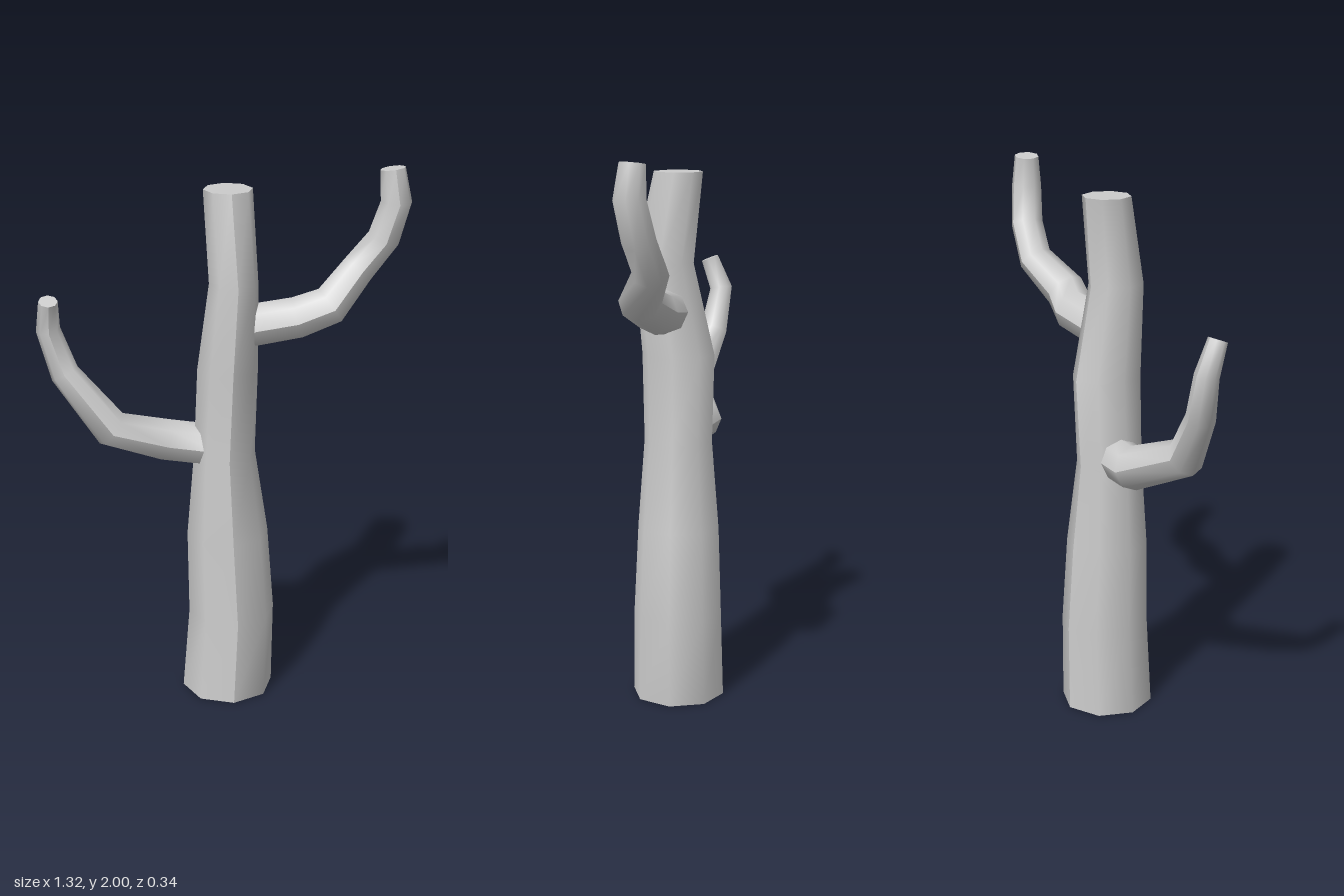
import * as THREE from 'three';

const SIDES = 8;

// Closed tube through rings [x, y, z, radius, radiusZ]; two half shells keep a crease at front and back.
function limb(name, rings, material, level = false) {
  const pts = rings.map(([x, y, z]) => new THREE.Vector3(x, y, z));
  const last = pts.length - 1;
  const loops = pts.map((p, i) => {
    const t = new THREE.Vector3(0, 1, 0);
    if (!level) {
      const before = pts[i].clone().sub(pts[Math.max(i - 1, 0)]).normalize();
      const after = pts[Math.min(i + 1, last)].clone().sub(pts[i]).normalize();
      t.copy(before.add(after)).normalize();
    }
    const u = new THREE.Vector3(0, 0, 1).addScaledVector(t, -t.z).normalize();
    const v = t.clone().cross(u);
    const r = rings[i][3], rz = rings[i][4] ?? r;
    return Array.from({ length: SIDES + 1 }, (_, j) => {
      const a = (j / SIDES) * Math.PI * 2;
      return p.clone().addScaledVector(u, Math.cos(a) * rz).addScaledVector(v, Math.sin(a) * r);
    });
  });

  const pos = [], index = [];
  const push = (p) => pos.push(p.x, p.y, p.z) / 3 - 1;

  // Bark, one half at a time
  const half = SIDES / 2;
  for (const start of [0, half]) {
    const ids = loops.map((loop) => loop.slice(start, start + half + 1).map(push));
    for (let i = 0; i < last; i++) {
      for (let j = 0; j < half; j++) {
        const a = ids[i][j], b = ids[i][j + 1], c = ids[i + 1][j], d = ids[i + 1][j + 1];
        index.push(a, b, d, a, d, c);
      }
    }
  }

  // Flat cut ends
  for (const end of [0, last]) {
    const centre = push(pts[end]);
    const ids = loops[end].map(push);
    for (let j = 0; j < SIDES; j++) {
      if (end) index.push(centre, ids[j], ids[j + 1]);
      else index.push(centre, ids[j + 1], ids[j]);
    }
  }

  const geometry = new THREE.BufferGeometry();
  geometry.setAttribute('position', new THREE.Float32BufferAttribute(pos, 3));
  geometry.setIndex(index);
  geometry.computeVertexNormals();
  const mesh = new THREE.Mesh(geometry, material);
  mesh.name = name;
  return mesh;
}

export function createModel() {
  const group = new THREE.Group();
  group.name = 'bareTree';
  const bark = new THREE.MeshStandardMaterial({ color: 0xcccccc });

  // Slightly wavy tapering trunk
  group.add(limb('trunk', [
    [0.015, 0, 0, 0.17, 0.17],
    [0.03, 0.32, 0, 0.16, 0.163],
    [0.015, 0.64, 0, 0.15, 0.15],
    [0.003, 0.96, 0.003, 0.112, 0.125],
    [0.015, 1.28, 0, 0.11, 0.132],
    [0.028, 1.61, 0.05, 0.087, 0.108],
    [0.015, 1.93, 0, 0.087, 0.088],
  ], bark, true));

  // Upper branch on the +x side
  group.add(limb('leftBranch', [
    [0.03, 1.435, 0.028, 0.08],
    [0.26, 1.465, 0.028, 0.078],
    [0.37, 1.515, 0.06, 0.075],
    [0.48, 1.625, 0, 0.063],
    [0.565, 1.74, 0.02, 0.06],
    [0.6, 1.875, 0.042, 0.056],
    [0.585, 1.99, 0.035, 0.045],
  ], bark));

  // Lower branch on the -x side
  group.add(limb('rightBranch', [
    [-0.01, 0.985, 0.01, 0.08],
    [-0.205, 1.0, -0.04, 0.08],
    [-0.41, 1.085, 0.035, 0.07],
    [-0.565, 1.28, -0.025, 0.052],
    [-0.617, 1.44, -0.045, 0.043],
    [-0.615, 1.555, 0, 0.034],
  ], bark));

  return group;
}
